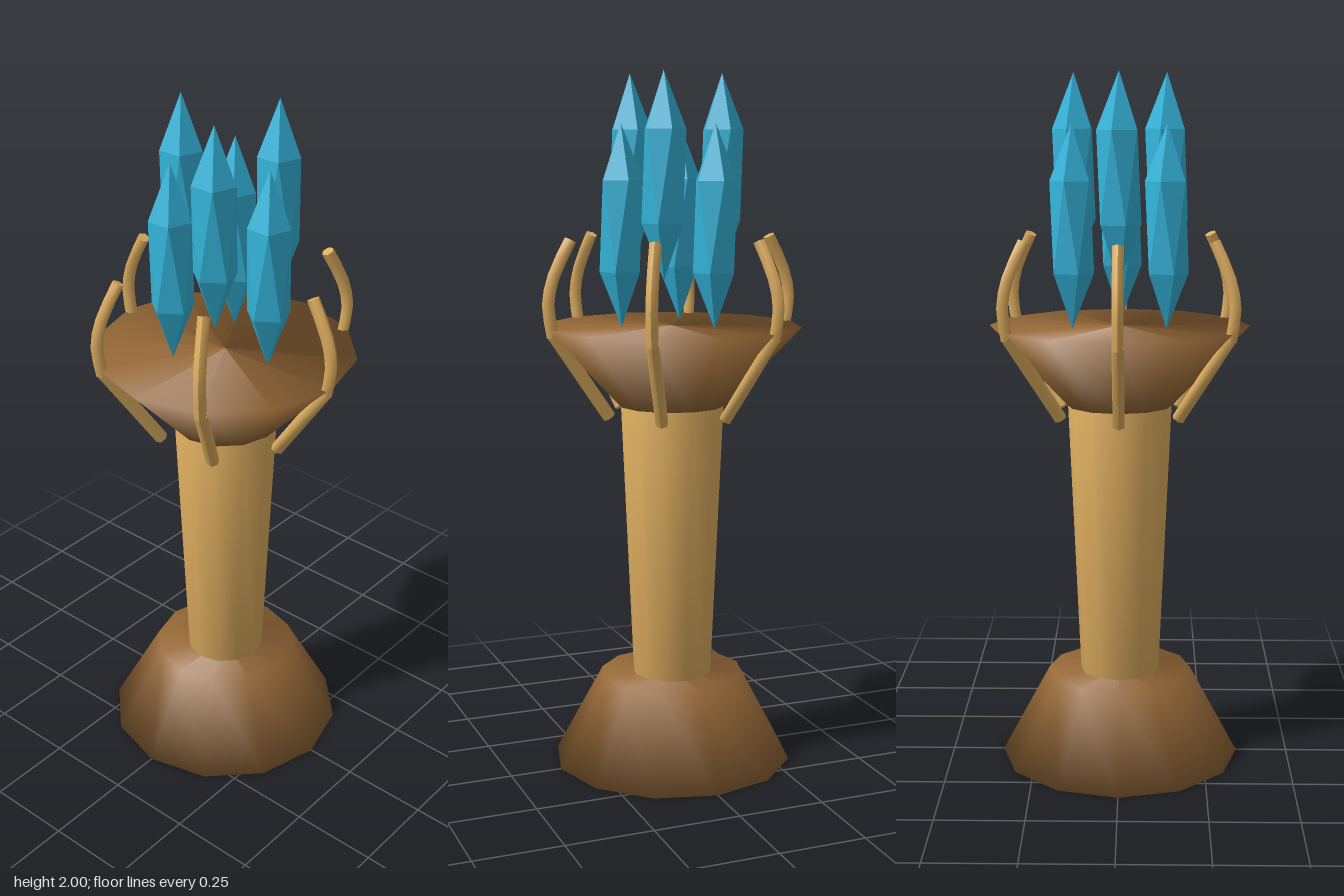
import * as THREE from 'three';

const brown = new THREE.MeshStandardMaterial({ name: 'dark wood', color: 0x946736 });
const gold = new THREE.MeshStandardMaterial({ name: 'light wood', color: 0xdcac5e });
const blue = new THREE.MeshStandardMaterial({ name: 'blue crystal', color: 0x34b4da });

// Closed twelve-sided frustum whose soft shading runs over the rims
function frustum(name, r0, y0, r1, y1, material) {
  const profile = [[0, y0], [r0, y0], [r1, y1], [0, y1]].map(p => new THREE.Vector2(...p));
  const geo = new THREE.LatheGeometry(profile, 12);
  const n = geo.attributes.normal;
  for (let i = 0; i < n.count; i += 4) {
    n.setXYZ(i, n.getX(i + 1), n.getY(i + 1), n.getZ(i + 1));
    n.setXYZ(i + 3, n.getX(i + 2), n.getY(i + 2), n.getZ(i + 2));
  }
  const mesh = new THREE.Mesh(geo, material);
  mesh.name = name;
  return mesh;
}

// Six-sided capped rod bent along a curve in the y-z plane; points are [z, y]
function rod(name, points, radius, steps) {
  const curve = new THREE.CatmullRomCurve3(points.map(([z, y]) => new THREE.Vector3(0, y, z)));
  const geo = new THREE.CylinderGeometry(radius, radius, 1, 6, steps);
  const pos = geo.attributes.position;
  for (let i = 0; i < pos.count; i++) {
    const t = THREE.MathUtils.clamp(pos.getY(i) + 0.5, 0, 1);
    const p = curve.getPoint(t), d = curve.getTangent(t), off = pos.getZ(i);
    pos.setXYZ(i, pos.getX(i), p.y - d.z * off, p.z + d.y * off);
  }
  geo.computeVertexNormals();
  const mesh = new THREE.Mesh(geo, gold);
  mesh.name = name;
  return mesh;
}

export function createModel() {
  const model = new THREE.Group();
  model.name = 'crystalPedestal';

  // Stand
  model.add(frustum('base', 0.35, 0, 0.21, 0.26, brown));
  model.add(frustum('column', 0.115, 0.26, 0.15, 1.06, gold));
  model.add(frustum('bowl', 0.155, 1.06, 0.373, 1.29, brown));

  // Stretched icosahedron standing on a corner
  const crystalGeo = new THREE.IcosahedronGeometry(1, 0);
  crystalGeo.rotateZ(-Math.atan(2 / (1 + Math.sqrt(5))));
  crystalGeo.scale(0.069, 0.285, 0.069);
  crystalGeo.computeVertexNormals();

  for (let i = 0; i < 6; i++) {
    const angle = i * Math.PI / 3;

    // Ring of floating crystals, alternately low and high
    const crystal = new THREE.Mesh(crystalGeo, blue);
    crystal.name = 'crystal' + (i + 1);
    crystal.position.set(0.153 * Math.sin(angle), i % 2 ? 1.715 : 1.575, 0.153 * Math.cos(angle));
    model.add(crystal);

    // Claws gripping the bowl
    const claw = new THREE.Group();
    claw.name = 'claw' + (i + 1);
    claw.add(rod('clawStem', [[0.192, 1.035], [0.358, 1.28]], 0.019, 1));
    claw.add(rod('clawTip', [[0.357, 1.27], [0.37, 1.36], [0.353, 1.44], [0.303, 1.54]], 0.018, 6));
    claw.rotation.y = angle;
    model.add(claw);
  }
  return model;
}
